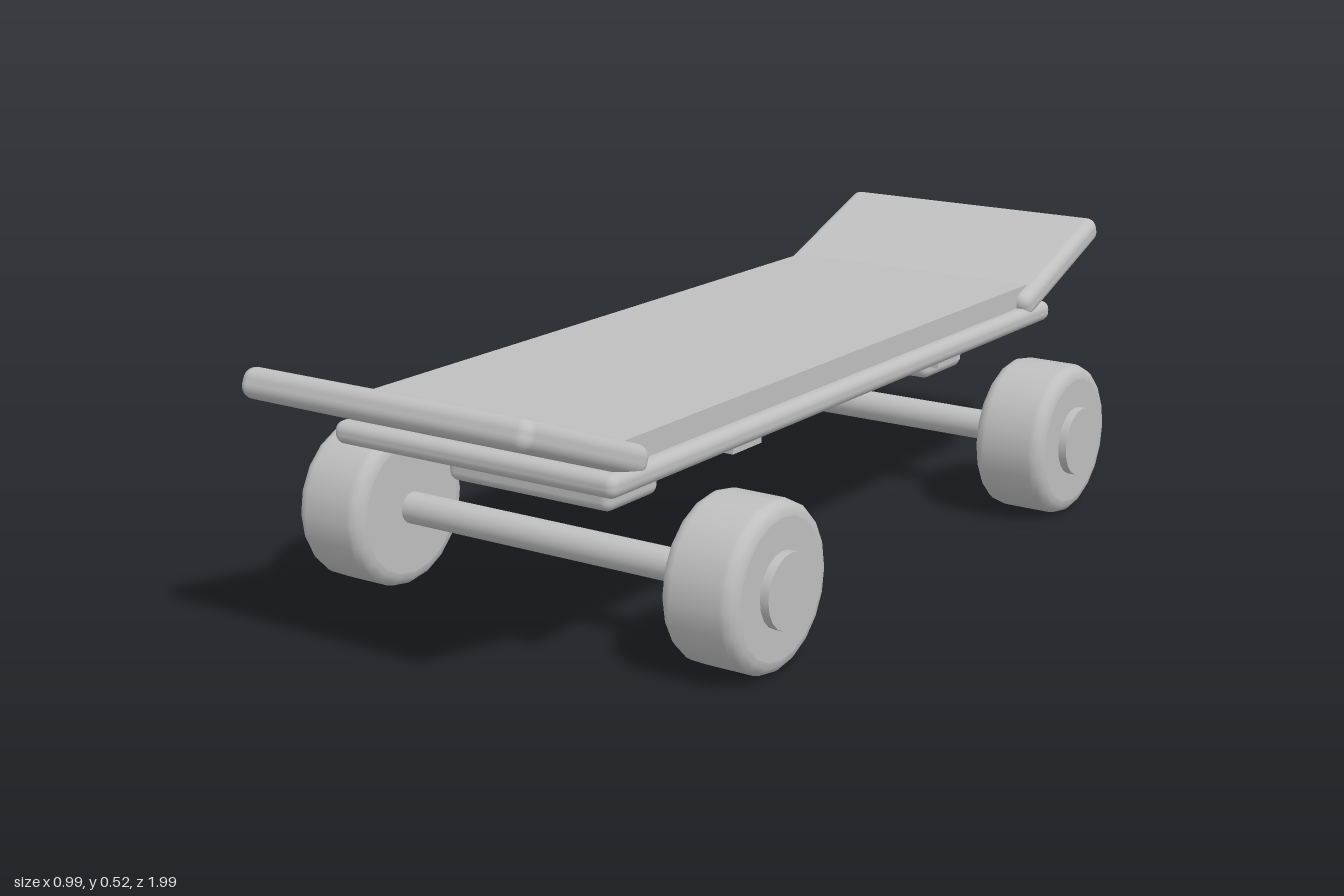
import * as THREE from 'three';
import { RoundedBoxGeometry } from 'three/addons/geometries/RoundedBoxGeometry.js';

export function createModel() {
  const group = new THREE.Group();
  const grey = new THREE.MeshStandardMaterial({ color: 0xbfbfbf });
  grey.name = 'plain grey';

  function add(name, geometry, x, y, z) {
    const mesh = new THREE.Mesh(geometry, grey);
    mesh.name = name;
    mesh.position.set(x, y, z);
    group.add(mesh);
    return mesh;
  }

  // Deck with a flat grip sheet on top
  add('deck', new RoundedBoxGeometry(0.61, 0.042, 1.55, 4, 0.018), 0, 0.356, 0);
  add('gripSheet', new THREE.BoxGeometry(0.56, 0.046, 1.48), 0, 0.397, 0);

  // Wheel: tyre profile with rounded shoulders, turned about the axle
  const R = 0.152, H = 0.075, r = 0.026;
  const profile = [new THREE.Vector2(0, -H), new THREE.Vector2(R - r - 0.001, -H)];
  for (const [cy, start] of [[-H + r, -Math.PI / 2], [H - r, 0]]) {
    for (let i = 0; i <= 4; i++) {
      const a = start + (i / 4) * Math.PI / 2;
      profile.push(new THREE.Vector2(R - r + Math.cos(a) * r, cy + Math.sin(a) * r));
    }
  }
  profile.push(new THREE.Vector2(R - r - 0.001, H), new THREE.Vector2(0, H));
  const wheel = new THREE.LatheGeometry(profile, 20).rotateZ(Math.PI / 2);
  const hub = new THREE.CylinderGeometry(0.068, 0.068, 0.04, 20).rotateZ(Math.PI / 2);
  const axle = new THREE.CylinderGeometry(0.03, 0.03, 0.8, 20).rotateZ(Math.PI / 2);
  const kick = new RoundedBoxGeometry(0.61, 0.054, 0.35, 4, 0.022);
  const base = new RoundedBoxGeometry(0.36, 0.085, 0.15, 4, 0.018);
  const strip = new THREE.BoxGeometry(0.58, 0.02, 0.09);

  // The two ends mirror each other
  for (const s of [1, -1]) {
    const end = s > 0 ? 'front' : 'rear';
    add(end + 'Kick', kick, 0, 0.437, s * 0.83).rotation.x = -s * 0.365;
    add(end + 'TruckBase', base, 0, 0.293, s * 0.545);
    add(end + 'Strip', strip, 0, 0.334, s * 0.362);
    add(end + 'Axle', axle, 0, 0.154, s * 0.543);
    for (const side of [1, -1]) {
      const label = end + (side > 0 ? 'Left' : 'Right');
      add(label + 'Wheel', wheel, side * 0.405, 0.154, s * 0.543);
      add(label + 'Hub', hub, side * 0.477, 0.154, s * 0.543);
    }
  }
  return group;
}
